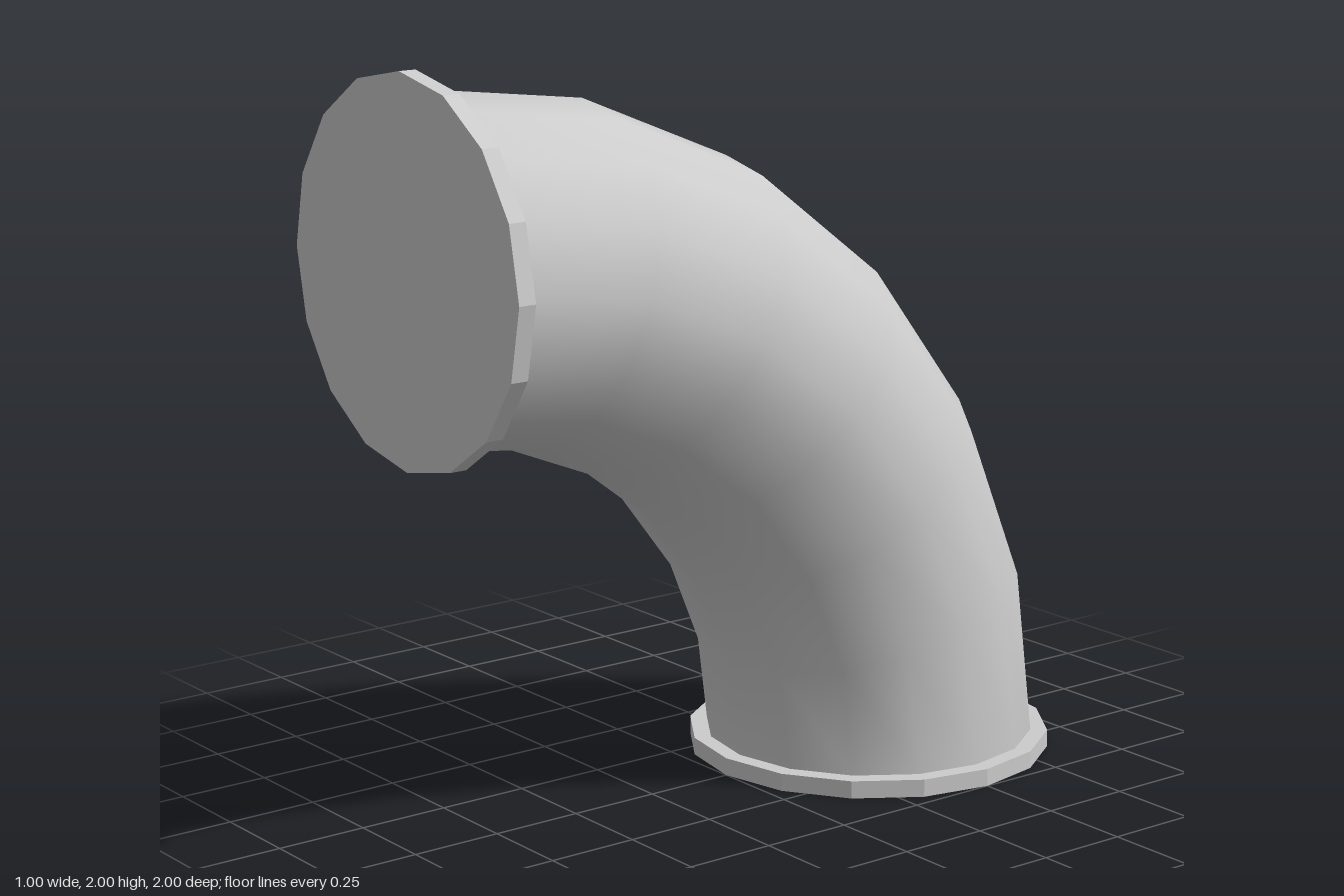
import * as THREE from 'three';

const SIDES = 16;
const FLANGE = 0.048; // flange thickness
const BEND = 1.452; // centreline radius of the bend

export function createModel() {
  const group = new THREE.Group();
  group.name = 'pipeElbow';
  const smooth = new THREE.MeshStandardMaterial({ color: 0xcccccc });
  const faceted = new THREE.MeshStandardMaterial({ color: 0xcccccc, flatShading: true });

  // Quarter-turn pipe, rising from the back and bending to the front
  const pipe = new THREE.Mesh(
    new THREE.TorusGeometry(BEND, 0.453, SIDES, 6, Math.PI / 2), smooth);
  pipe.name = 'bentPipe';
  pipe.rotation.y = Math.PI / 2;
  pipe.position.set(0, FLANGE, 1 - FLANGE);
  group.add(pipe);

  // Flat disc closing each end
  const disc = new THREE.CylinderGeometry(0.5, 0.5, FLANGE, SIDES);
  const addFlange = (name, y, z, tilt) => {
    const flange = new THREE.Mesh(disc, faceted);
    flange.name = name;
    flange.position.set(0, y, z);
    flange.rotation.x = tilt;
    group.add(flange);
  };
  addFlange('bottomFlange', FLANGE / 2, -0.5, 0);
  addFlange('frontFlange', 1.5, 1 - FLANGE / 2, Math.PI / 2);

  return group;
}
